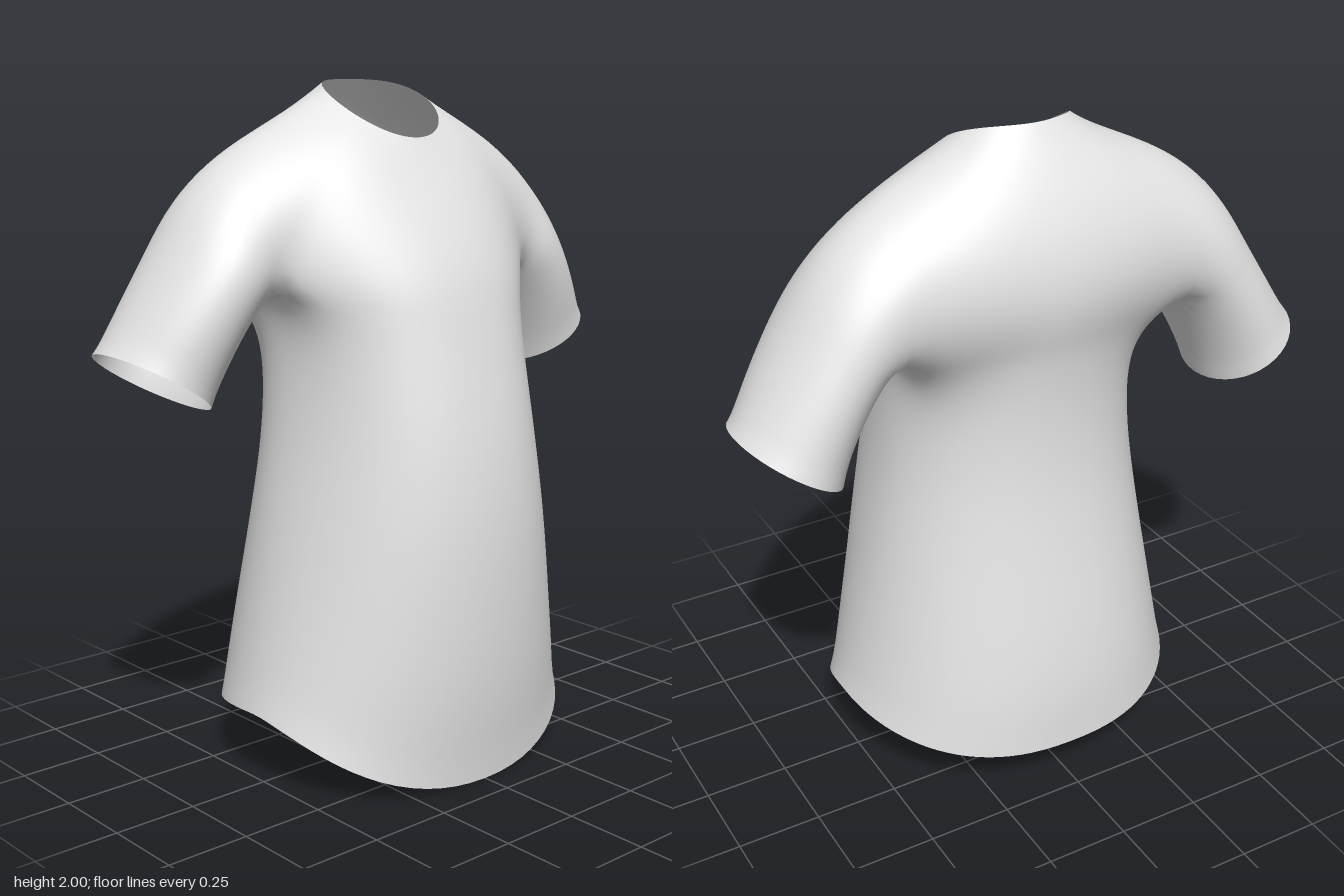
import * as THREE from 'three';
import { mergeVertices } from 'three/addons/utils/BufferGeometryUtils.js';

const V = (x, y, z) => new THREE.Vector3(x, y, z);
const RAD = Math.PI / 180;
const FRONT = 72 * RAD, BACK = 130 * RAD;   // torso angles where the sleeve meets the body
const ARM = 125 * RAD;                      // sleeve angle where the yoke ends and the underarm begins
const SPLIT_Y = 1.42;

// Torso sections every 0.25 of height: half width, front depth, back depth
const sections = new THREE.CatmullRomCurve3([
  V(0.585, 0.41, -0.45), V(0.53, 0.447, -0.462), V(0.48, 0.462, -0.435), V(0.435, 0.462, -0.393),
  V(0.395, 0.437, -0.36), V(0.374, 0.385, -0.357), V(0.37, 0.322, -0.39),
], false, 'catmullrom');

// Torso surface: angle 0 is the front, PI the back
function torso(angle, y) {
  const s = sections.getPoint(THREE.MathUtils.clamp(y / 1.5, 0, 1));
  const mid = 0.02 - 0.04 * y, c = Math.cos(angle), si = Math.max(0, Math.sin(angle));
  return c > 0 ? V(s.x * Math.pow(si, 0.95 - 0.1 * y), y, mid + (s.y - mid) * c)
    : V(s.x * Math.pow(si, 0.85 + 0.1 * y), y, mid + (mid - s.z) * c);
}

function hemHeight(angle) {
  const c = Math.cos(angle);
  return c > 0 ? 0.22 * (1 - Math.pow(c, 1.7)) : 0.22 - 0.09 * Math.pow(-c, 1.6);
}

// Sleeve surface: angle 0 is the top, positive toward the front; t runs from armhole to cuff
const underarm = new THREE.QuadraticBezierCurve3(V(0.41, 1.41, 0), V(0.5, 1.36, 0), V(0.6, 1.1, 0));
const overarm = new THREE.LineCurve3(V(0.685, 1.595, 0), V(0.88, 1.28, 0));
function sleeve(angle, t) {
  const top = overarm.getPoint(t), low = underarm.getPoint(t);
  const p = low.lerp(top, 0.5 + 0.5 * Math.cos(angle));
  p.z = THREE.MathUtils.lerp(-0.13, -0.16, t * t) + THREE.MathUtils.lerp(0.23, 0.2, t * t) * Math.sin(angle);
  return p;
}

// Yoke columns: u = 0 front centre, 1 front armhole, 2 shoulder, 3 back armhole, 4 back centre
function neck(u) {
  const b = (u < 1 ? 60 * u : u < 3 ? 30 + 30 * u : 60 * u - 60) * RAD;
  const rise = 1 - Math.pow((1 + Math.cos(b)) / 2, 1.6);
  return V(0.175 * Math.sin(b), 1.84 + 0.16 * rise, -0.05 + 0.16 * Math.cos(b));
}

function blendToArm(angle, corner, f, armAngle) {
  const offset = sleeve(armAngle, 0).sub(torso(corner, SPLIT_Y));
  return torso(angle, SPLIT_Y).addScaledVector(offset, f * f * f);
}

function yokeEdge(u) {
  if (u < 1) return blendToArm(FRONT * u, FRONT, u, ARM);
  if (u > 3) return blendToArm(BACK + (Math.PI - BACK) * (u - 3), BACK, 4 - u, -ARM);
  return sleeve((2 - u) * ARM, 0);
}

// Closed guide loop from the five key columns, mirrored across the body
function guide(keys) {
  const mirrored = keys.slice(1, 4).reverse().map((p) => V(-p.x, p.y, p.z));
  return new THREE.CatmullRomCurve3([...keys, ...mirrored], true, 'catmullrom');
}
const upperGuide = guide([V(0, 1.74, 0.17), V(0.27, 1.8, 0.12), V(0.36, 1.865, -0.1), V(0.27, 1.88, -0.28), V(0, 1.84, -0.335)]);
const lowerGuide = guide([V(0, 1.56, 0.308), V(0.42, 1.62, 0.14), V(0.565, 1.825, -0.13), V(0.44, 1.66, -0.42), V(0, 1.64, -0.47)]);

function yoke(u, v) {
  return new THREE.CubicBezierCurve3(
    neck(u), upperGuide.getPoint(u / 8), lowerGuide.getPoint(u / 8), yokeEdge(u)).getPoint(v);
}

// Torso column hanging from a point on the armhole level, easing into the torso surface
function hang(top, angle, v) {
  const y = THREE.MathUtils.lerp(top.y, hemHeight(angle), Math.pow(v, 1.3));
  const offset = top.clone().sub(torso(angle, top.y));
  return torso(angle, y).addScaledVector(offset, Math.exp(-(top.y - y) / 0.08));
}

// Relax interior vertices so that the patches flow into each other; open edges stay put
function relax(geometry, rounds) {
  const pos = geometry.attributes.position, index = geometry.index.array;
  const near = Array.from({ length: pos.count }, () => new Map());
  const link = (a, b) => near[a].set(b, (near[a].get(b) || 0) + 1);
  for (let i = 0; i < index.length; i += 3) {
    for (let k = 0; k < 3; k++) {
      const a = index[i + k], b = index[i + (k + 1) % 3];
      link(a, b);
      link(b, a);
    }
  }
  const inner = near.map((m) => m.size > 0 && [...m.values()].every((n) => n > 1));
  for (let r = 0; r < rounds; r++) {
    const old = near.map((_, i) => new THREE.Vector3().fromBufferAttribute(pos, i));
    near.forEach((m, i) => {
      if (!inner[i]) return;
      const mean = V(0, 0, 0);
      for (const j of m.keys()) mean.add(old[j]);
      mean.divideScalar(m.size).lerp(old[i], 0.5);
      pos.setXYZ(i, mean.x, mean.y, mean.z);
    });
  }
}

function shirtGeometry() {
  const positions = [], indices = [];
  // Grid patch, with its mirror image on the other side
  function patch(nu, nv, surface) {
    for (const side of [1, -1]) {
      const base = positions.length / 3;
      for (let i = 0; i <= nu; i++) {
        for (let j = 0; j <= nv; j++) {
          const p = surface(i / nu, j / nv);
          positions.push(Math.abs(p.x) < 1e-6 ? 0 : side * p.x, p.y, p.z);
        }
      }
      for (let i = 0; i < nu; i++) {
        for (let j = 0; j < nv; j++) {
          const a = base + i * (nv + 1) + j, b = a + 1, c = a + nv + 1, d = c + 1;
          if (side > 0) indices.push(a, b, c, b, d, c);
          else indices.push(a, c, b, b, c, d);
        }
      }
    }
  }
  const nBody = 14, nArm = 28, nUnder = 12, yokeRows = 18, torsoRows = 34, sleeveRows = 14;

  // Yoke: front, shoulder, back
  patch(nBody, yokeRows, (s, v) => yoke(s, v));
  patch(nArm, yokeRows, (s, v) => yoke(1 + 2 * s, v));
  patch(nBody, yokeRows, (s, v) => yoke(3 + s, v));
  // Torso: front, side under the arm, back
  patch(nBody, torsoRows, (s, v) => hang(yokeEdge(s), FRONT * s, v));
  patch(nUnder, torsoRows, (s, v) =>
    hang(sleeve(ARM + 2 * (Math.PI - ARM) * s, 0), FRONT + (BACK - FRONT) * s, v));
  patch(nBody, torsoRows, (s, v) => hang(yokeEdge(3 + s), BACK + (Math.PI - BACK) * s, v));
  // Sleeve: over the arm, then under it
  patch(nArm, sleeveRows, (s, v) => sleeve(ARM - 2 * ARM * s, v));
  patch(nUnder, sleeveRows, (s, v) => sleeve(-ARM - 2 * (Math.PI - ARM) * s, v));

  let geometry = new THREE.BufferGeometry();
  geometry.setAttribute('position', new THREE.Float32BufferAttribute(positions, 3));
  geometry.setIndex(indices);
  geometry = mergeVertices(geometry, 1e-4);
  relax(geometry, 8);
  geometry.computeVertexNormals();
  return geometry;
}

export function createModel() {
  const fabric = new THREE.MeshStandardMaterial({ color: 0xe4e4e4, side: THREE.DoubleSide });
  fabric.name = 'light grey fabric';
  const shirt = new THREE.Mesh(shirtGeometry(), fabric);
  shirt.name = 'shirt';
  const group = new THREE.Group();
  group.name = 'shortSleevedShirt';
  group.add(shirt);
  return group;
}
